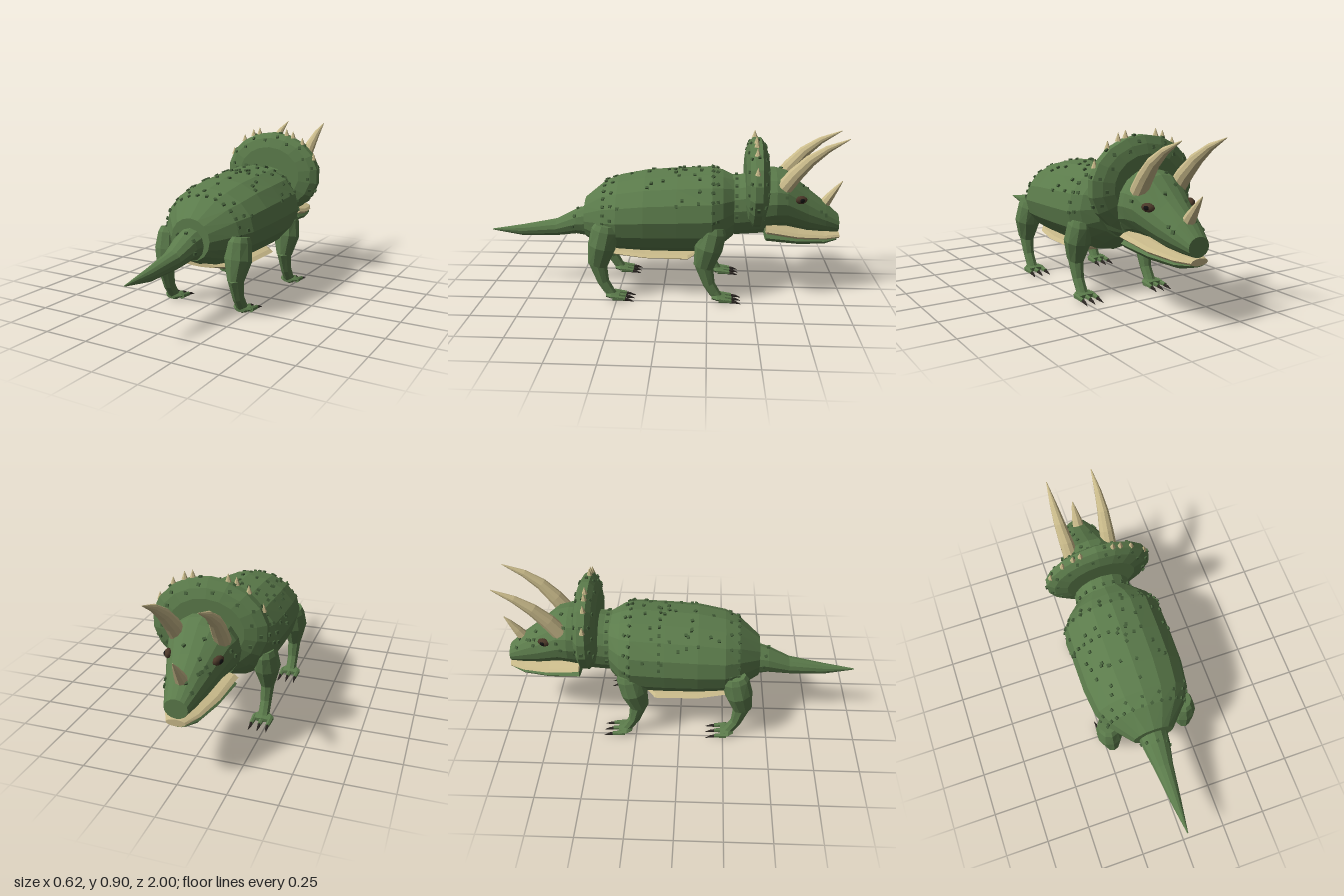
import * as THREE from 'three';

const mat = (name, color) => Object.assign(new THREE.MeshStandardMaterial({ color }), { name });
const V = (x, y, z) => new THREE.Vector3(x, y, z);

// Faceted, capped loft through elliptical rings [x, y, z, rx, ry].
// Rings follow the path unless a fixed direction is given.
function loft(rings, sides, dir) {
  const side = V(1, 0, 0), pos = [], idx = [], n = rings.length;
  const centres = rings.map(r => V(r[0], r[1], r[2]));
  rings.forEach((r, i) => {
    const t = dir ? dir.clone() : centres[Math.min(i + 1, n - 1)].clone().sub(centres[Math.max(i - 1, 0)]);
    t.x = 0;
    const up = t.normalize().cross(side);
    for (let j = 0; j < sides; j++) {
      const a = Math.PI / 2 + j / sides * Math.PI * 2;
      const p = centres[i].clone().addScaledVector(side, Math.cos(a) * r[3]).addScaledVector(up, Math.sin(a) * r[4]);
      pos.push(p.x, p.y, p.z);
    }
  });
  pos.push(...centres[0].toArray(), ...centres[n - 1].toArray());
  for (let j = 0; j < sides; j++) {
    const k = (j + 1) % sides, end = (n - 1) * sides;
    for (let i = 0; i < n - 1; i++) {
      const a = i * sides + j, b = i * sides + k;
      idx.push(a, b, b + sides, a, b + sides, a + sides);
    }
    idx.push(n * sides, k, j, n * sides + 1, end + j, end + k);
  }
  const g = new THREE.BufferGeometry();
  g.setAttribute('position', new THREE.Float32BufferAttribute(pos, 3));
  g.setIndex(idx);
  const flat = g.toNonIndexed();
  flat.computeVertexNormals();
  return flat;
}

// Rings along the length of the animal: [z, y, rx, ry]
const FORWARD = V(0, 0, -1);
const along = (rows, sides) => loft(rows.map(([z, y, rx, ry]) => [0, y, z, rx, ry]), sides, FORWARD);

const BODY = [[.445, .415, .117, .115], [.33, .438, .225, .188], [.25, .448, .27, .208], [.1, .46, .29, .226],
  [-.08, .466, .292, .234], [-.27, .472, .287, .238], [-.33, .485, .25, .208], [-.39, .495, .18, .172]];
const NECK = [[-.37, .5, .165, .17], [-.42, .5, .165, .17], [-.56, .52, .165, .18]];
const FRILL = [[-.452, .63, .2, .165], [-.47, .63, .27, .22], [-.495, .63, .305, .25],
  [-.535, .63, .305, .25], [-.56, .63, .26, .21], [-.577, .63, .2, .16]];
const HEAD = [[-.54, .54, .18, .18], [-.62, .55, .185, .165], [-.68, .543, .168, .157],
  [-.8, .48, .123, .12], [-.9, .437, .09, .085], [-.978, .402, .06, .05]];

export function createModel() {
  const green = mat('hide green', 0x5b7b4b), dark = mat('scale green', 0x45603a), cream = mat('horn cream', 0xc9ba8a);
  const claw = mat('claw black', 0x2b2622), iris = mat('eye brown', 0x4a3728), black = mat('pupil black', 0x111111);
  const model = new THREE.Group();
  model.name = 'hornedDinosaur';
  const add = (name, geometry, material, parent = model) => {
    const m = new THREE.Mesh(geometry, material);
    m.name = name;
    parent.add(m);
    return m;
  };

  // Trunk, neck, frill and tail
  add('body', along(BODY, 16), green);
  add('neck', along(NECK, 16), green);
  add('frill', along(FRILL, 18), green);
  add('tail', along([[1, .325, .003, .003], [.82, .325, .03, .033], [.62, .347, .055, .05], [.5, .385, .077, .074],
    [.44, .39, .083, .09]], 12), green);

  // Belly plate
  add('bellyPlate', along([[.36, .26, .1, .012], [.27, .245, .16, .022], [.1, .235, .19, .024],
    [-.14, .233, .19, .025], [-.19, .245, .13, .014]], 12), cream);

  // Head, lips and jaw
  add('head', along(HEAD, 16), green);
  add('lips', along([[-.57, .387, .165, .032], [-.75, .35, .132, .03], [-.9, .334, .09, .022], [-.985, .333, .05, .018]], 12), cream);
  add('lowerJaw', along([[-.57, .35, .157, .041], [-.75, .324, .125, .038], [-.9, .312, .082, .028],
    [-.972, .318, .045, .012]], 12), green);

  // Nose horn
  add('noseHorn', loft([[0, .49, -.885, .036, .034], [0, .55, -.925, .028, .025], [0, .605, -.965, .014, .013],
    [0, .64, -.992, .002, .002]], 8), cream);

  for (const s of [1, -1]) {
    const label = s > 0 ? 'left' : 'right';

    // Brow horns
    add(label + 'BrowHorn', loft([[.115, .62, -.655, .044, .046], [.12, .7, -.715, .041, .042], [.128, .78, -.79, .032, .033],
      [.131, .845, -.88, .02, .02], [.13, .9, -.995, .002, .002]].map(r => [r[0] * s, ...r.slice(1)]), 10), cream);

    // Eyes
    const eye = new THREE.Group();
    eye.name = label + 'Eye';
    eye.position.set(s * .127, .562, -.752);
    eye.rotation.y = s * .35;
    add('iris', new THREE.SphereGeometry(1, 10, 6), iris, eye).scale.set(.02, .023, .037);
    const pupil = add('pupil', new THREE.SphereGeometry(1, 8, 6), black, eye);
    pupil.scale.set(.008, .012, .015);
    pupil.position.x = s * .016;
    model.add(eye);

    // Frill spikes
    for (const [x, y] of [[.092, .88], [.135, .868], [.197, .832], [.272, .745]]) {
      const spike = add(label + 'FrillSpike', new THREE.ConeGeometry(.016, .044, 6).toNonIndexed(), cream);
      spike.geometry.computeVertexNormals();
      spike.position.set(s * x, y + .006, -.505);
    }

    // Legs: the front pair repeats the rear pair further forward
    for (const [end, dz] of [['Rear', 0], ['Front', -.585]]) {
      const leg = new THREE.Group();
      leg.name = label + end + 'Leg';
      leg.position.set(s * .22, 0, dz);
      add('thigh', loft([[0, .43, .305, .05, .06], [0, .4, .31, .062, .075], [0, .31, .33, .075, .077],
        [0, .2, .357, .043, .055]], 10), green, leg);
      add('shin', loft([[0, .215, .355, .041, .05], [0, .1, .325, .031, .033], [0, .055, .297, .031, .03],
        [0, .018, .268, .032, .024]], 8), green, leg);
      add('foot', loft([[0, .028, .31, .03, .014], [0, .03, .28, .058, .017], [0, .025, .235, .057, .012]], 8), green, leg);
      for (const x of [-.045, 0, .045]) {
        add('toe', loft([[x, .025, .27, .015, .017], [x, .019, .2, .011, .011]], 6), green, leg);
        add('claw', loft([[x, .017, .21, .009, .011], [x, .014, .18, .007, .008], [x * 1.1, .005, .15, .001, .001]], 6), claw, leg);
      }
      model.add(leg);
    }
  }

  // Small square scales set on the hide
  const scales = new THREE.Group();
  scales.name = 'scales';
  model.add(scales);
  const cube = new THREE.BoxGeometry(.016, .016, .014);
  const scaleAt = (p, normal) => {
    const m = add('scale', cube, dark, scales);
    m.position.copy(p);
    m.lookAt(p.clone().add(normal));
  };
  // Angle is measured from the spine, in degrees
  const onRings = (rows, z, deg) => {
    const i = Math.max(0, rows.findIndex((r, k) => k + 1 < rows.length && z <= r[0] && z >= rows[k + 1][0]));
    const f = (z - rows[i][0]) / (rows[i + 1][0] - rows[i][0]);
    const [, y, rx, ry] = rows[i].map((v, k) => v + (rows[i + 1][k] - v) * f);
    const a = deg * Math.PI / 180, c = Math.cos(a), n = Math.sin(a);
    const slope = (rows[i][3] - rows[i + 1][3]) / (rows[i][0] - rows[i + 1][0]);
    scaleAt(V(n * rx, y + c * ry, z), V(n / rx, c / ry, -slope / ry).normalize());
  };
  let seed = 7;
  const rand = () => (seed = (seed * 16807) % 2147483647) / 2147483647;

  // Rows across the back and neck
  for (const [z, step] of [[.325, 14], [.28, 22], [-.275, 13], [-.3, 26]])
    for (let a = -91; a <= 91; a += step) onRings(BODY, z, a);
  for (let a = -100; a <= 100; a += 20) onRings(NECK, -.405, a);
  for (let a = -80; a <= 0; a += 11) onRings(BODY, -.11, a);

  // Scattered scales
  for (let i = 0; i < 36; i++) onRings(BODY, .24 - rand() * .48, rand() * 160 - 80);
  for (let i = 0; i < 18; i++) onRings(HEAD, -.63 - rand() * .3, rand() * 180 - 90);
  for (let i = 0; i < 14; i++) {
    const a = -110 + i * 17;
    onRings(FRILL, i % 2 ? -.478 : -.466, a);
    onRings(FRILL, i % 2 ? -.552 : -.566, a);
    if (i % 2) onRings(FRILL, -.515, a);
  }
  for (let i = 0; i < 5; i++) onRings([[.62, .347, .055, .05], [.5, .385, .077, .074], [.44, .39, .083, .09]], .47 + i * .012, i * 47 - 90);
  return model;
}
